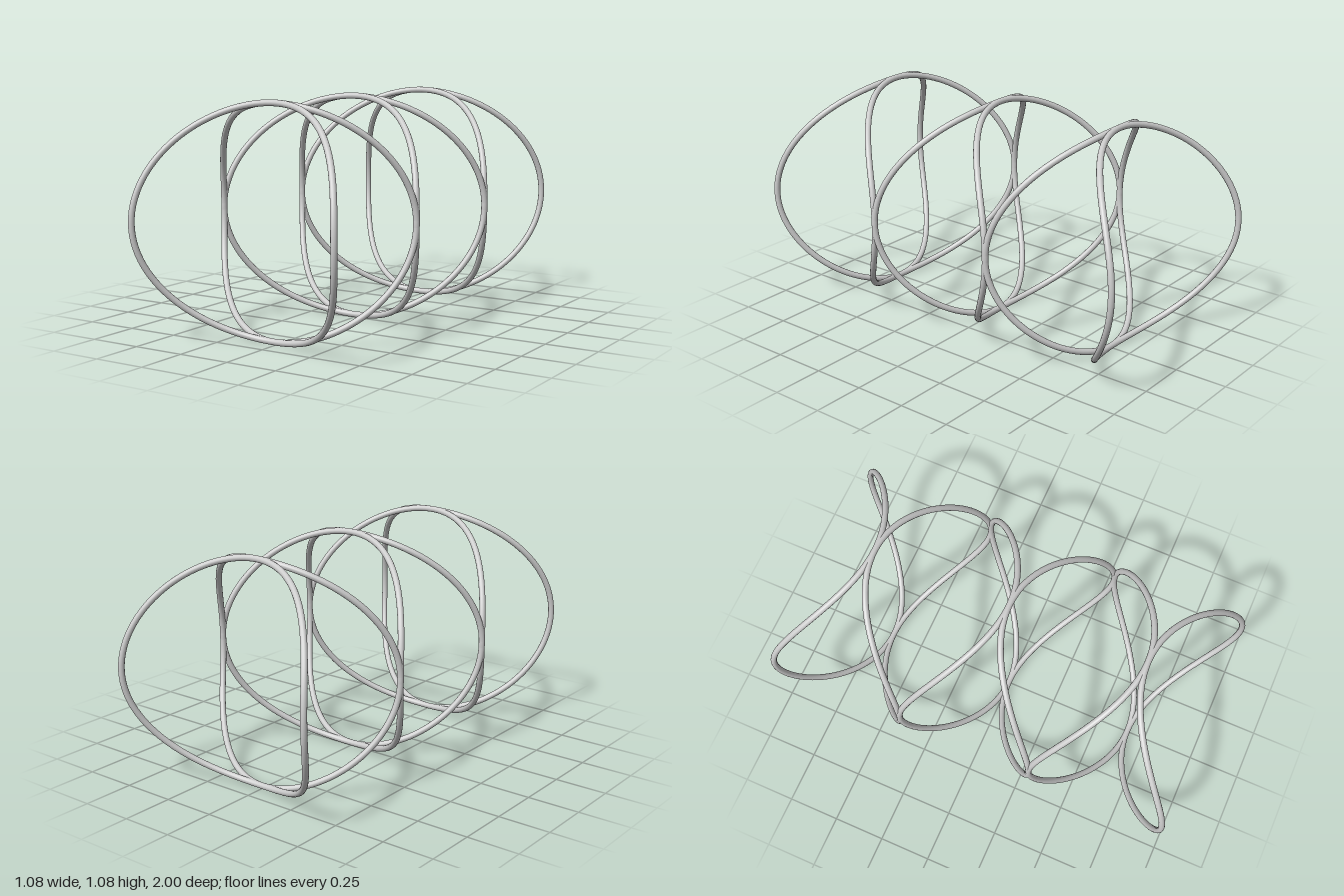
import * as THREE from 'three';

const REACH = 0.527;   // half width of a ring
const BULGE = 0.012;   // extra radius at the four diagonals
const BEND = 0.3285;   // how far the sides fold along z
const TUBE = 0.0145;   // wire radius
const PITCH = 0.656;   // spacing of the ring pairs

// Slightly squared ring whose two sides fold along z
class FoldedRing extends THREE.Curve {
  getPoint(t, target = new THREE.Vector3()) {
    const a = t * Math.PI * 2;
    const r = REACH + BULGE * Math.sin(2 * a) ** 2;
    return target.set(r * Math.cos(a), r * Math.sin(a), BEND * Math.cos(a) ** 2);
  }
}

export function createModel() {
  const model = new THREE.Group();
  model.name = 'foldedRingChain';
  const material = new THREE.MeshStandardMaterial({ color: 0xcccccc });
  const ring = new THREE.TubeGeometry(new FoldedRing(), 128, TUBE, 14, true);

  // Three pairs of rings, one folded forward and one folded back
  for (let i = -1; i <= 1; i++) {
    const pair = new THREE.Group();
    pair.name = 'ringPair';
    pair.position.set(0, REACH + TUBE, i * PITCH);
    for (const [name, turn] of [['forwardRing', 0], ['backwardRing', Math.PI]]) {
      const mesh = new THREE.Mesh(ring, material);
      mesh.name = name;
      mesh.rotation.y = turn;
      pair.add(mesh);
    }
    model.add(pair);
  }
  return model;
}
